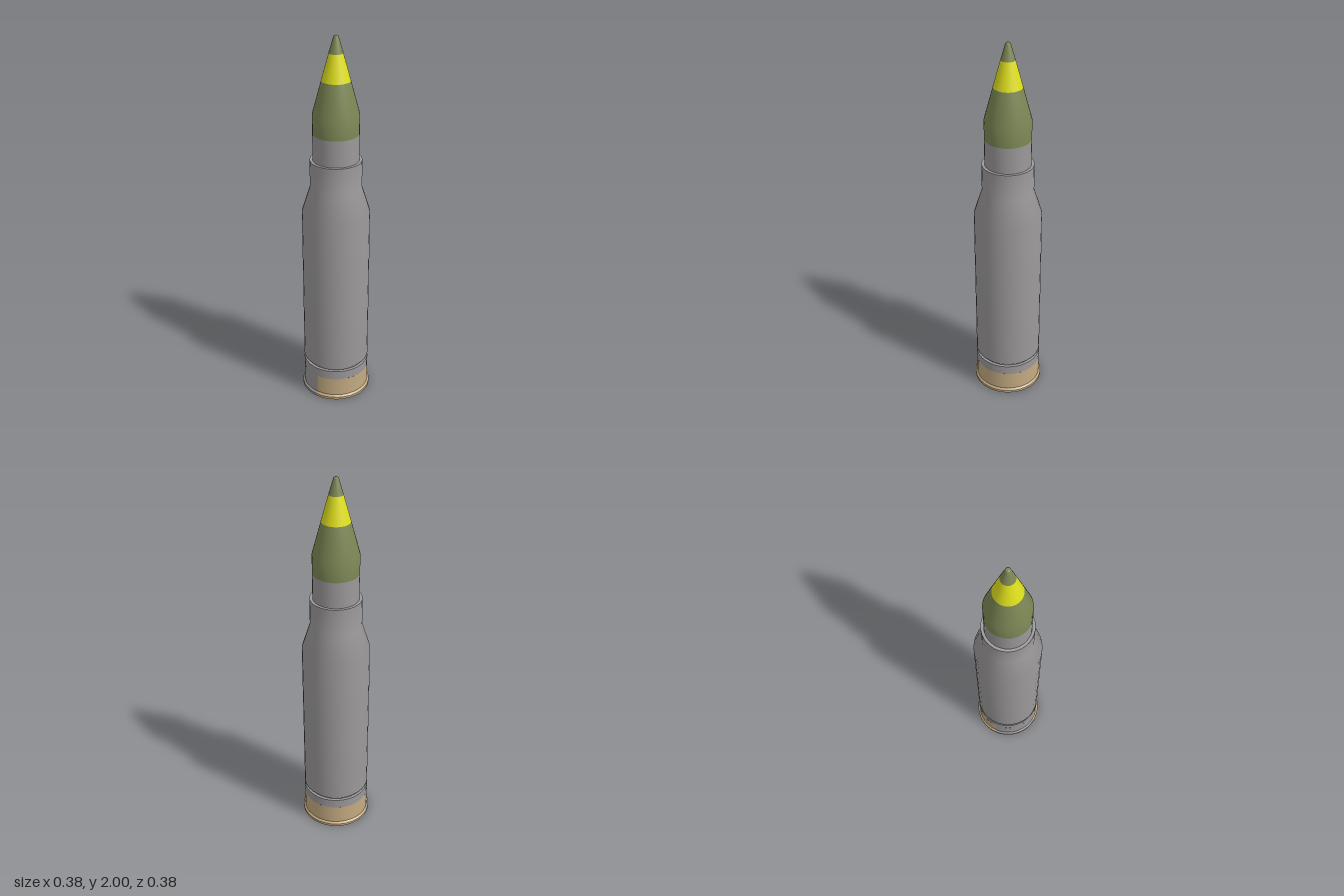
import * as THREE from 'three';

const mat = (name, color) => {
  const m = new THREE.MeshStandardMaterial({ color });
  m.name = name;
  return m;
};

export function createModel() {
  const steel = mat('steel grey', 0x9c999a);
  const olive = mat('olive green', 0x7c8755);
  const yellow = mat('yellow', 0xe0e01e);
  const tan = mat('tan', 0xc4ab82);

  const root = new THREE.Group();
  root.name = 'cartridge';

  // Turned part from [radius, height] pairs, listed bottom to top; angles in degrees from +z towards +x
  const turn = (name, material, profile, segments = 36, start = 0, sweep = 360) => {
    const rad = THREE.MathUtils.degToRad;
    const pts = profile.map(([r, y]) => new THREE.Vector2(r, y));
    const mesh = new THREE.Mesh(new THREE.LatheGeometry(pts, segments, rad(start), rad(sweep)), material);
    mesh.name = name;
    root.add(mesh);
  };

  // Base: flat underside, flared rim and a band that is tan except for one quarter
  const tanStart = -10, tanSweep = 276;
  const rim = [[0.188, 0], [0.188, 0.014]];
  const flare = [[0.188, 0.014], [0.178, 0.024]];
  const band = [[0.178, 0.024], [0.178, 0.13]];
  turn('baseUnderside', steel, [[0, 0], [0.188, 0]]);
  for (const [name, profile] of [['rim', rim], ['rimFlare', flare], ['baseBand', band]]) {
    turn(name + 'Tan', tan, profile, 28, tanStart, tanSweep);
    turn(name + 'Grey', steel, profile, 9, tanStart + tanSweep, 360 - tanSweep);
  }
  turn('baseUpper', steel, [[0.178, 0.13], [0.178, 0.182]]);
  turn('baseTop', steel, [[0.178, 0.182], [0.162, 0.182]]);

  // Case: chamfer above the groove, long body, shoulder and neck
  turn('caseBody', steel, [[0.162, 0.182], [0.178, 0.202], [0.178, 1.08], [0.134, 1.22], [0.134, 1.37]]);
  turn('caseMouth', steel, [[0.134, 1.37], [0.118, 1.37]]);

  // Projectile: grey shank, olive ogive, yellow ring and olive tip
  turn('projectileShank', steel, [[0.119, 1.37], [0.119, 1.51]]);
  turn('projectileBody', olive, [[0.119, 1.51], [0.119, 1.61], [0.073, 1.78]]);
  turn('projectileRing', yellow, [[0.073, 1.78], [0.036, 1.915]]);
  turn('projectileTip', olive, [[0.036, 1.915], [0.013, 1.995], [0.008, 2], [0, 2]]);

  return root;
}
